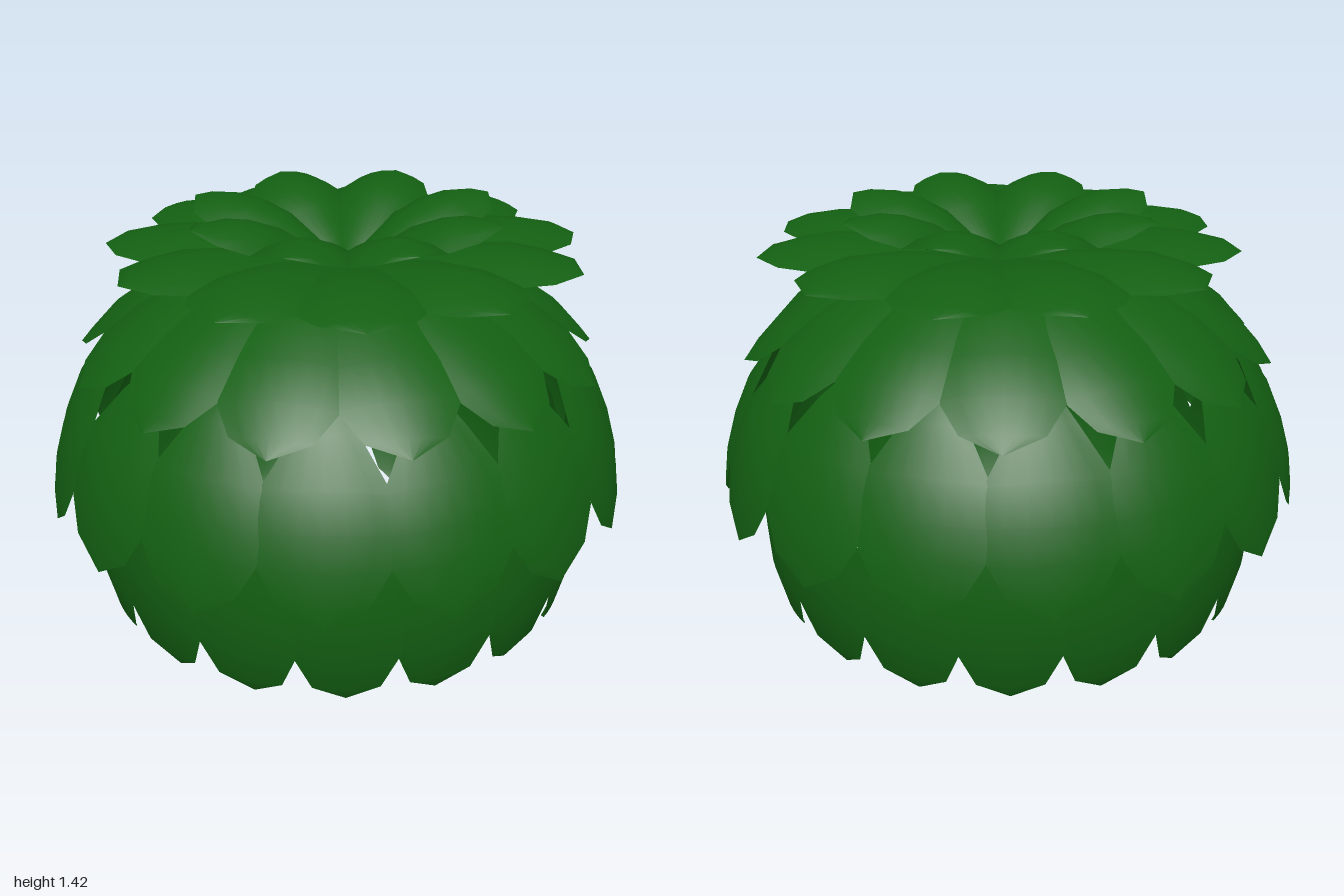
import * as THREE from 'three';

const leafMaterial = new THREE.MeshStandardMaterial({ color: 0x135f12, side: THREE.DoubleSide });
const COLUMNS = 6;

// Each ring: leaf count, sideways shift, edge droop, and leaf sections [radius, height, half width]
const rings = [
  { name: 'crownLeaf', count: 8, shift: 0.03, droop: 0.07, sections: [
    [0, 1.22, 0], [0.1, 1.28, 0.05], [0.22, 1.365, 0.1], [0.32, 1.405, 0.15],
    [0.4, 1.42, 0.17], [0.5, 1.415, 0.12], [0.545, 1.405, 0]] },
  { name: 'upperLeaf', count: 11, shift: 0.03, droop: 0.05, sections: [
    [0, 1.22, 0], [0.15, 1.27, 0.06], [0.35, 1.315, 0.14], [0.53, 1.335, 0.2],
    [0.64, 1.325, 0.21], [0.755, 1.3, 0.14], [0.81, 1.275, 0]] },
  { name: 'shoulderLeaf', count: 13, shift: 0, droop: 0.035, sections: [
    [0.12, 1.27, 0], [0.32, 1.26, 0.1], [0.5, 1.205, 0.16], [0.66, 1.125, 0.195],
    [0.78, 1.04, 0.195], [0.86, 0.95, 0.13], [0.9, 0.9, 0]] },
  { name: 'middleLeaf', count: 15, shift: 0, droop: 0.035, sections: [
    [0.66, 1.08, 0], [0.8, 0.95, 0.1], [0.9, 0.81, 0.2], [0.95, 0.69, 0.22],
    [0.98, 0.58, 0.2], [0.993, 0.47, 0.14], [0.993, 0.39, 0]] },
  { name: 'lowerLeaf', count: 16, shift: 0, droop: 0.025, sections: [
    [0.8, 0.74, 0], [0.84, 0.62, 0.09], [0.858, 0.48, 0.175], [0.862, 0.34, 0.19],
    [0.85, 0.2, 0.175], [0.81, 0.06, 0.11], [0.77, 0, 0]] },
];

// One leaf pointing along +x, its cross-sections arched so the edges droop inward
function leafGeometry(sections, droop) {
  const positions = [], indices = [];
  const widest = Math.max(...sections.map(s => s[2]));
  sections.forEach(([r, y, w], i) => {
    const before = sections[Math.max(i - 1, 0)];
    const after = sections[Math.min(i + 1, sections.length - 1)];
    const dr = after[0] - before[0], dy = after[1] - before[1];
    const length = Math.hypot(dr, dy);
    const half = Math.max(w, 0.002);
    for (let j = 0; j <= COLUMNS; j++) {
      const s = (j / COLUMNS) * 2 - 1;
      const drop = droop * (s * half / widest) ** 2;
      positions.push(r + drop * dy / length, y - drop * dr / length, s * half);
      if (i < sections.length - 1 && j < COLUMNS) {
        const a = i * (COLUMNS + 1) + j, b = a + COLUMNS + 1;
        indices.push(a, a + 1, b, a + 1, b + 1, b);
      }
    }
  });
  const geometry = new THREE.BufferGeometry();
  geometry.setAttribute('position', new THREE.Float32BufferAttribute(positions, 3));
  geometry.setIndex(indices);
  geometry.computeVertexNormals();
  return geometry;
}

export function createModel() {
  const model = new THREE.Group();
  model.name = 'leafyBush';
  for (const { name, count, shift, droop, sections } of rings) {
    const ring = new THREE.Group();
    ring.name = name + 'Ring';
    ring.position.x = shift;
    const geometry = leafGeometry(sections, droop);
    for (let k = 0; k < count; k++) {
      const leaf = new THREE.Mesh(geometry, leafMaterial);
      leaf.name = name;
      leaf.rotation.y = (k / count) * Math.PI * 2;
      ring.add(leaf);
    }
    model.add(ring);
  }
  return model;
}
